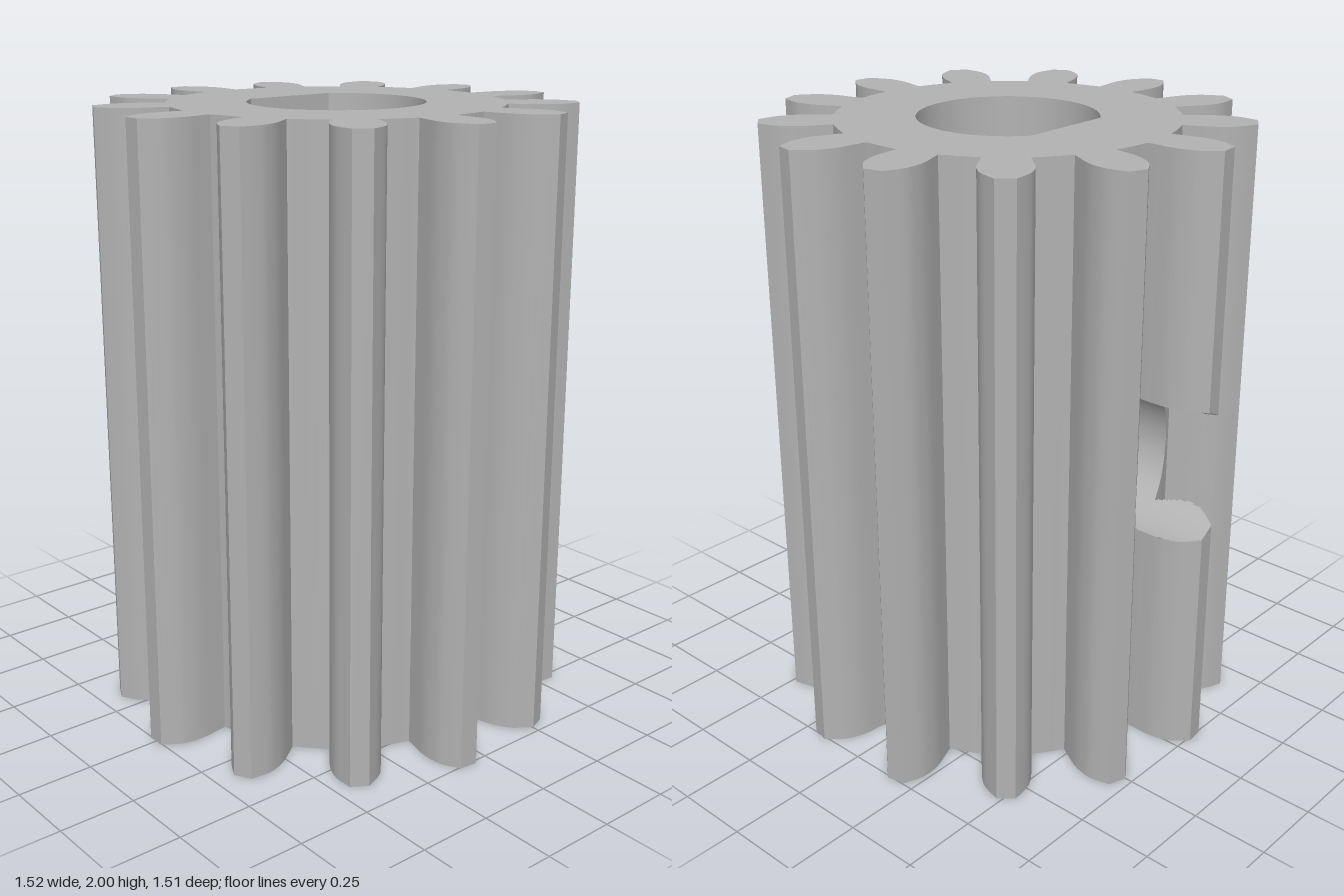
import * as THREE from 'three';
import { toCreasedNormals } from 'three/addons/utils/BufferGeometryUtils.js';

const TEETH = 13, ROOT = 0.54, BORE = 0.285, HEIGHT = 2;
const ZC = -0.01;                       // gear axis offset so the bounds are centred
const SCREW = { y: 0.98, r: 0.225 };    // radial set-screw hole, running along -x

// Point at a polar angle measured from +z towards +x, with sideways offset w
const polar = (a, r, w = 0) => [
  r * Math.sin(a) + w * Math.cos(a),
  ZC + r * Math.cos(a) - w * Math.sin(a),
];

// Half tooth: [half width, radius] from root to tip
const flank = new THREE.SplineCurve([
  [0.068, 0.538], [0.074, 0.58], [0.08, 0.63], [0.077, 0.67], [0.066, 0.71], [0.03, 0.764],
].map(([w, r]) => new THREE.Vector2(w, r))).getPoints(14);

function gearOutline() {
  const points = [], step = (2 * Math.PI) / TEETH;
  const rootAngle = Math.atan2(0.068, 0.538);
  for (let k = 0; k < TEETH; k++) {
    const a = k * step;
    flank.forEach(p => points.push(polar(a, p.y, -p.x)));
    [...flank].reverse().forEach(p => points.push(polar(a, p.y, p.x)));
    for (let i = 1; i < 6; i++) {
      points.push(polar(a + rootAngle + (step - 2 * rootAngle) * i / 6, ROOT));
    }
  }
  return points;
}

// Circle of radius r cut by a chord at x = -d (d = r gives the full circle)
function boreOutline(r, d) {
  const e = Math.asin(d / r), points = [];
  for (let i = 0; i <= 96; i++) points.push(polar(-e + (Math.PI + 2 * e) * i / 96, r));
  return points;
}

// Sliver of the bore between two chords
function sliver(d1, d2) {
  const a = Math.asin(d1 / BORE), b = Math.asin(d2 / BORE), points = [];
  for (let i = 0; i <= 12; i++) points.push(polar(-a + (a - b) * i / 12, BORE));
  for (let i = 0; i <= 12; i++) points.push(polar(Math.PI + b + (a - b) * i / 12, BORE));
  return points;
}

function quad(out, a, b, c, d, flip) {
  (flip ? [a, c, b, a, d, c] : [a, b, c, a, c, d]).forEach(p => out.push(...p));
}

function finish(positions) {
  const g = new THREE.BufferGeometry();
  g.setAttribute('position', new THREE.Float32BufferAttribute(positions, 3));
  return toCreasedNormals(g, 0.5);
}

// Half height of the screw hole at a given z (0 outside it)
const holeHalf = (x, z) => x < 0 ? Math.sqrt(Math.max(0, SCREW.r ** 2 - (z - ZC) ** 2)) : 0;

// Vertical wall along a closed outline, optionally pierced by the screw hole
function wall(outline, y0, y1, inward, pierced) {
  const out = [];
  outline.forEach((p, i) => {
    const q = outline[(i + 1) % outline.length];
    const near = pierced && p[0] < 0.01 && Math.min(Math.abs(p[1] - ZC), Math.abs(q[1] - ZC)) < 0.26;
    const n = near ? Math.max(1, Math.ceil(Math.hypot(q[0] - p[0], q[1] - p[1]) / 0.003)) : 1;
    const at = t => [p[0] + (q[0] - p[0]) * t, p[1] + (q[1] - p[1]) * t];
    for (let s = 0; s < n; s++) {
      const [ax, az] = at(s / n), [bx, bz] = at((s + 1) / n);
      const ha = pierced ? holeHalf(ax, az) : 0, hb = pierced ? holeHalf(bx, bz) : 0;
      if (ha + hb === 0) {
        quad(out, [ax, y0, az], [bx, y0, bz], [bx, y1, bz], [ax, y1, az], inward);
      } else {
        const c = SCREW.y;
        quad(out, [ax, y0, az], [bx, y0, bz], [bx, c - hb, bz], [ax, c - ha, az], inward);
        quad(out, [ax, c + ha, az], [bx, c + hb, bz], [bx, y1, bz], [ax, y1, az], inward);
      }
    }
  });
  return finish(out);
}

// Horizontal face at height y
function cap(outline, hole, y, up) {
  const s = up ? -1 : 1;
  const vectors = pts => pts.map(([x, z]) => new THREE.Vector2(x, s * z));
  const shape = new THREE.Shape(vectors(outline));
  if (hole) shape.holes.push(new THREE.Path(vectors(hole)));
  return new THREE.ShapeGeometry(shape).rotateX(s * Math.PI / 2).translate(0, y, 0);
}

// Inside of the screw hole, in thin slices wherever there is metal
function screwHole(outer, inner) {
  const out = [], N = 120;
  const crossings = (outline, z) => outline.flatMap((p, i) => {
    const q = outline[(i + 1) % outline.length];
    if ((p[1] < z) === (q[1] < z)) return [];
    const x = p[0] + (q[0] - p[0]) * (z - p[1]) / (q[1] - p[1]);
    return x < 0 ? [x] : [];
  });
  for (let i = 0; i < N; i++) {
    const t0 = Math.PI * (i / N - 0.5), t1 = Math.PI * ((i + 1) / N - 0.5);
    const z0 = ZC + SCREW.r * Math.sin(t0), z1 = ZC + SCREW.r * Math.sin(t1);
    const zm = (z0 + z1) / 2;
    const xs = [...crossings(outer, zm), ...crossings(inner, zm)].sort((a, b) => a - b);
    for (let j = 0; j + 1 < xs.length; j += 2) {
      for (const side of [-1, 1]) {
        const ya = SCREW.y + side * SCREW.r * Math.cos(t0), yb = SCREW.y + side * SCREW.r * Math.cos(t1);
        quad(out, [xs[j], ya, z0], [xs[j], yb, z1], [xs[j + 1], yb, z1], [xs[j + 1], ya, z0], side > 0);
      }
    }
  }
  return finish(out);
}

// Conical lead-in at the bottom of the bore
function chamfer(r0, r1, y1) {
  const a = boreOutline(r0, r0), b = boreOutline(r1, r1), out = [];
  for (let i = 0; i < a.length - 1; i++) {
    const at = (p, y) => [p[0], y, p[1]];
    quad(out, at(a[i], 0), at(a[i + 1], 0), at(b[i + 1], y1), at(b[i], y1), true);
  }
  return finish(out);
}

export function createModel() {
  const group = new THREE.Group();
  const steel = new THREE.MeshStandardMaterial({ color: 0xb2b2b2 });
  steel.name = 'steel grey';
  const add = (name, geometry) => {
    const mesh = new THREE.Mesh(geometry, steel);
    mesh.name = name;
    group.add(mesh);
  };

  const LEAD = 0.07, FLAT_START = 0.5, STEP = 1.4, FLAT = 0.19, TOP_FLAT = 0.235, LEAD_R = 0.36;
  const gear = gearOutline();
  const round = boreOutline(BORE, BORE);
  const dBore = boreOutline(BORE, FLAT);
  const topBore = boreOutline(BORE, TOP_FLAT);

  // Outside of the pinion
  add('toothedWall', wall(gear, 0, HEIGHT, false, true));
  add('topFace', cap(gear, topBore, HEIGHT, true));
  add('bottomFace', cap(gear, boreOutline(LEAD_R, LEAD_R), 0, false));

  // Shaft bore: lead-in, round section, then the flatted sections
  add('boreChamfer', chamfer(LEAD_R, BORE, LEAD));
  add('roundBore', wall(round, LEAD, FLAT_START, true, false));
  add('flatLowerLedge', cap(sliver(BORE, FLAT), null, FLAT_START, false));
  add('flattedBore', wall(dBore, FLAT_START, STEP, true, true));
  add('flatUpperLedge', cap(sliver(TOP_FLAT, FLAT), null, STEP, true));
  add('upperFlattedBore', wall(topBore, STEP, HEIGHT, true, false));

  // Set-screw hole through two teeth into the bore
  add('setScrewHole', screwHole(gear, dBore));
  return group;
}
